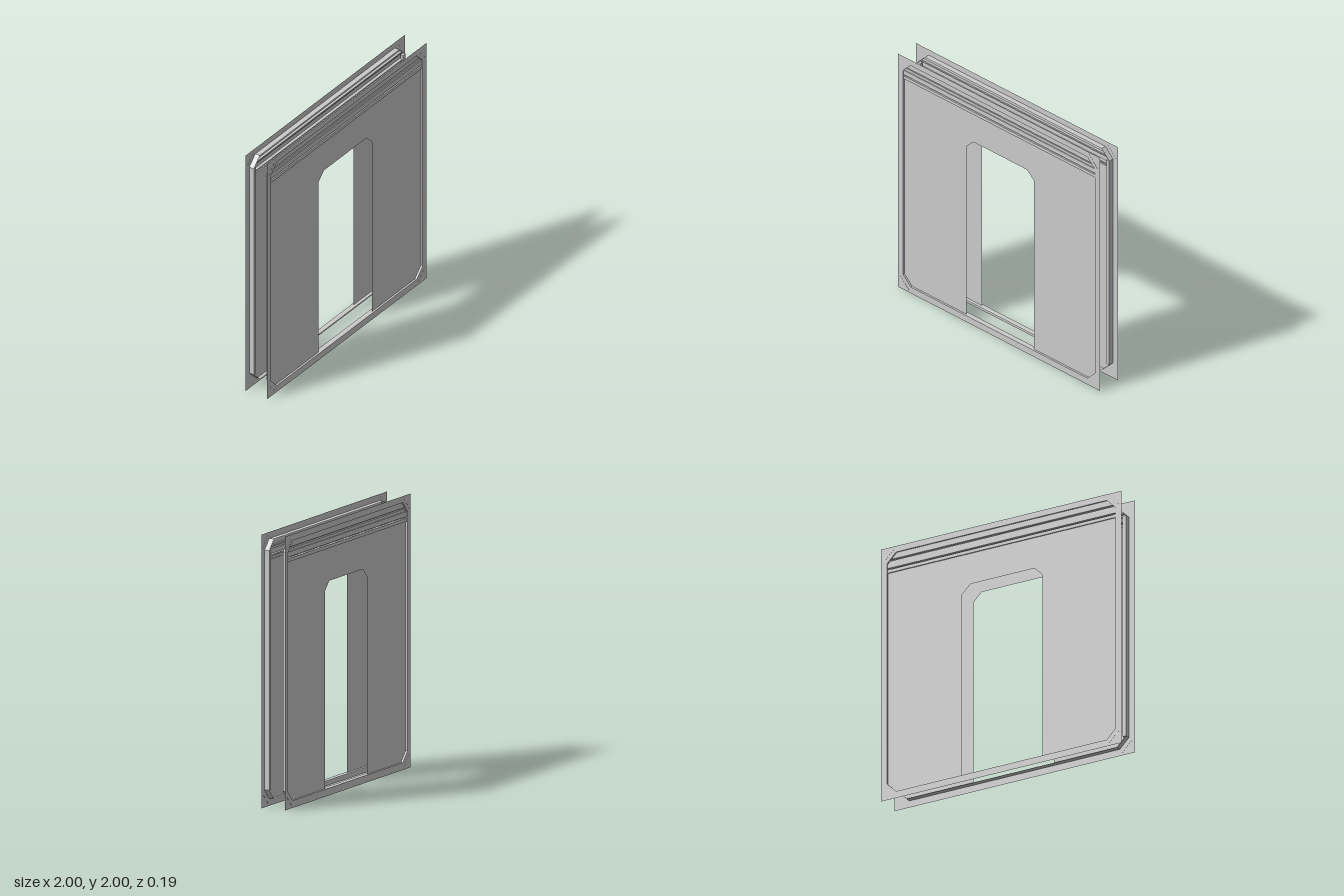
import * as THREE from 'three';

const material = new THREE.MeshStandardMaterial({ color: 0xcccccc, side: THREE.DoubleSide, flatShading: true });

// main dimensions
const FACE = 0.095, PANEL = 0.08, INNER = 0.055; // depths of flange, panel and wall
const HALF = 0.95, LOW = 0.053, HIGH = 1.953, CUT = 0.075; // chamfered outline
const RIB_BASE = 1.804;

function add(group, name, geometry, z = 0) {
  const mesh = new THREE.Mesh(geometry, material);
  mesh.name = name;
  mesh.position.z = z;
  group.add(mesh);
  return mesh;
}

const toVectors = (points) => points.map(([x, y]) => new THREE.Vector2(x, y));

// octagon with chamfered corners
const outline = [
  [-HALF + CUT, LOW], [HALF - CUT, LOW], [HALF, LOW + CUT], [HALF, HIGH - CUT],
  [HALF - CUT, HIGH], [-HALF + CUT, HIGH], [-HALF, HIGH - CUT], [-HALF, LOW + CUT],
];

// flat facets between successive cross-sections of equal length
function loft(sections) {
  const positions = [];
  for (let i = 0; i < sections.length - 1; i++) {
    const a = sections[i], b = sections[i + 1];
    for (let j = 0; j < a.length - 1; j++) {
      positions.push(...a[j], ...a[j + 1], ...b[j + 1], ...a[j], ...b[j + 1], ...b[j]);
    }
  }
  const geometry = new THREE.BufferGeometry();
  geometry.setAttribute('position', new THREE.Float32BufferAttribute(positions, 3));
  geometry.computeVertexNormals();
  return geometry;
}

function createWall(name) {
  const wall = new THREE.Group();
  wall.name = name;

  // square outer border with a chamfered hole
  const border = new THREE.Shape(toVectors([[-1, 0], [1, 0], [1, 2], [-1, 2]]));
  border.holes.push(new THREE.Path(toVectors(outline)));
  add(wall, 'outerFlange', new THREE.ShapeGeometry(border), FACE);

  // edge running inward from the border
  const loop = [...outline, outline[0]];
  add(wall, 'recessEdge', loft([INNER, FACE].map((z) => loop.map(([x, y]) => [x, y, z]))));

  // recessed panel with a doorway open at the bottom
  const panel = new THREE.Shape(toVectors([
    [-HALF + CUT, LOW], [-0.335, LOW], [-0.335, 1.495], [-0.265, 1.562],
    [0.265, 1.562], [0.335, 1.495], [0.335, LOW], [HALF - CUT, LOW],
    [HALF, LOW + CUT], [HALF, RIB_BASE], [-HALF, RIB_BASE], [-HALF, LOW + CUT],
  ]));
  add(wall, 'doorwayPanel', new THREE.ShapeGeometry(panel), PANEL);

  // stepped horizontal ribs over the doorway, narrowing with the top chamfers
  const profile = [
    [RIB_BASE, PANEL], [RIB_BASE, 0.089], [1.829, 0.089], [1.829, 0.066], [1.84, 0.066],
    [1.84, 0.089], [1.877, 0.089], [1.877, 0.082], [1.898, 0.082], [1.898, 0.066],
    [1.909, 0.066], [1.909, 0.085], [HIGH, 0.085],
  ];
  add(wall, 'headerRibs', loft(profile.map(([y, z]) => {
    const half = HALF - Math.max(0, y - (HIGH - CUT));
    return [[half, y, z], [-half, y, z]];
  })));

  // posts behind the panel sides
  for (const side of [-1, 1]) {
    const post = add(wall, 'sidePost', new THREE.BoxGeometry(0.028, HIGH - LOW - 2 * CUT, 0.022), 0.068);
    post.position.x = side * (HALF - 0.015);
    post.position.y = (LOW + HIGH) / 2;
  }

  // thin diagonal seams on the border corners
  for (const sx of [-1, 1]) {
    for (const sy of [-1, 1]) {
      const seam = add(wall, 'cornerSeam', new THREE.BoxGeometry(0.125, 0.003, 0.002), FACE);
      seam.position.x = sx * 0.935;
      seam.position.y = 1 + sy * 0.938;
      seam.rotation.z = -sx * sy * Math.PI / 4;
    }
  }
  return wall;
}

export function createModel() {
  const model = new THREE.Group();
  model.name = 'doorwayWall';
  const front = createWall('frontWall');
  const back = createWall('backWall');
  back.rotation.y = Math.PI;
  model.add(front, back);
  return model;
}
